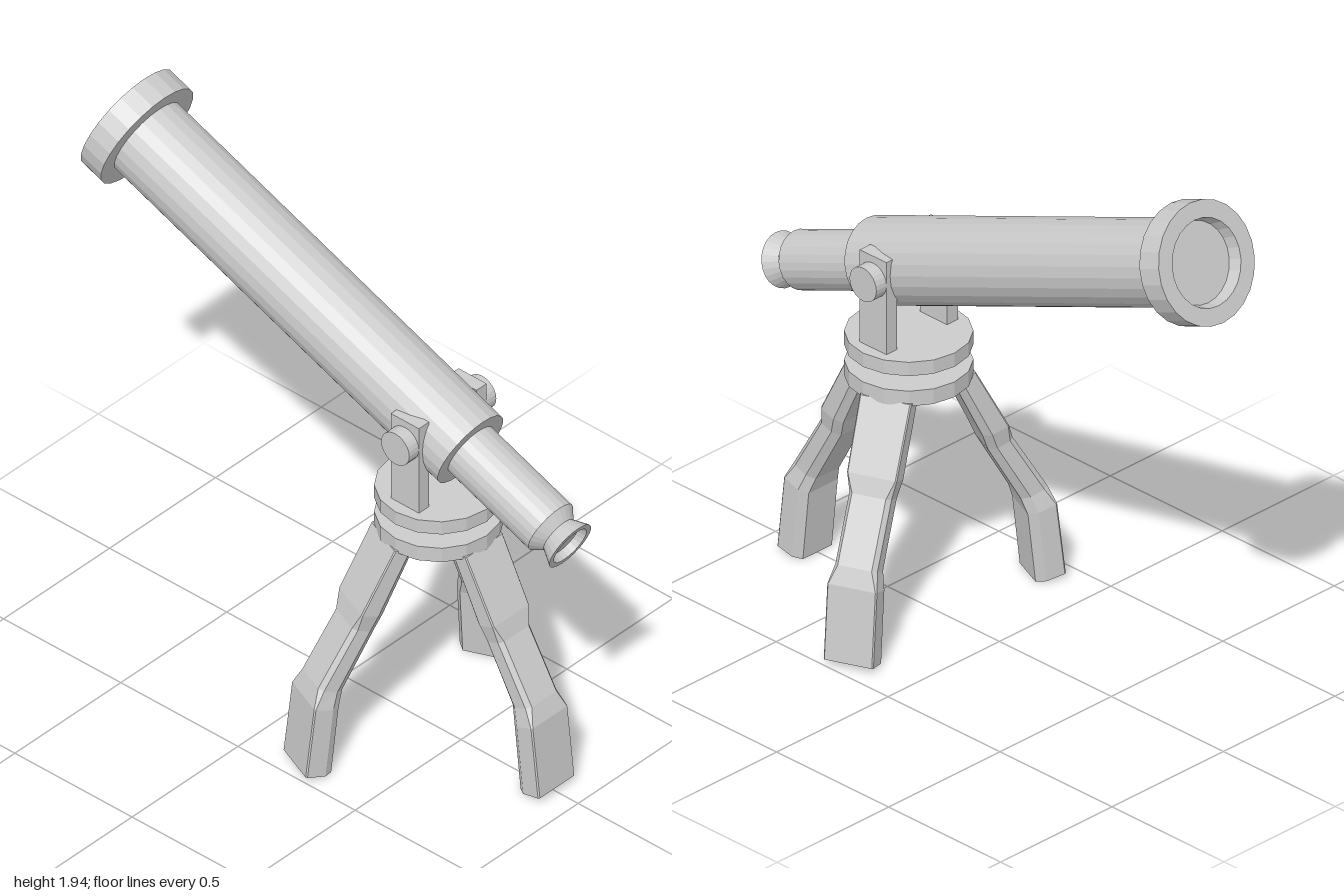
import * as THREE from 'three';

const material = new THREE.MeshStandardMaterial({ color: 0xcccccc, flatShading: true });
const PIVOT = new THREE.Vector3(0.405, 1.225, 0);
const TILT = THREE.MathUtils.degToRad(111.5);

function add(parent, name, geometry, x = 0, y = 0, z = 0) {
  const mesh = new THREE.Mesh(geometry, material);
  mesh.name = name;
  mesh.position.set(x, y, z);
  parent.add(mesh);
  return mesh;
}

// Turned part: [radius, distance along the axis] pairs
function turned(profile) {
  return new THREE.LatheGeometry(profile.map(([r, t]) => new THREE.Vector2(r, t)), 24);
}

// Leg lofted through stations: outer edge, inner edge, half width, outer corner chamfer
function legGeometry() {
  const stations = [
    { o: [0.195, 0.82], i: [0.11, 0.82], w: 0.088, c: 0.004 },
    { o: [0.31, 0.6], i: [0.227, 0.57], w: 0.085, c: 0.004 },
    { o: [0.332, 0.54], i: [0.25, 0.51], w: 0.072, c: 0.014 },
    { o: [0.45, 0.34], i: [0.363, 0.305], w: 0.072, c: 0.014 },
    { o: [0.475, 0.28], i: [0.382, 0.25], w: 0.085, c: 0.004 },
    { o: [0.505, 0.02], i: [0.408, 0], w: 0.085, c: 0.004 },
  ];
  const positions = [], index = [], n = 8;
  for (const { o, i, w, c } of stations) {
    const half = [[0, w - 0.02], [0.3, w], [1 - c * 12, w], [1, w - c]];
    const ring = [...half, ...half.map(([f, s]) => [f, -s]).reverse()];
    for (const [f, s] of ring) {
      positions.push(i[0] + (o[0] - i[0]) * f, i[1] + (o[1] - i[1]) * f, s);
    }
  }
  for (let k = 0; k < stations.length - 1; k++) {
    for (let j = 0; j < n; j++) {
      const a = k * n + j, b = k * n + (j + 1) % n;
      index.push(a, a + n, b, b, a + n, b + n);
    }
  }
  // End caps
  const last = (stations.length - 1) * n;
  for (let j = 1; j < n - 1; j++) {
    index.push(0, j, j + 1, last, last + j + 1, last + j);
  }
  const geometry = new THREE.BufferGeometry();
  geometry.setAttribute('position', new THREE.Float32BufferAttribute(positions, 3));
  geometry.setIndex(index);
  geometry.computeVertexNormals();
  return geometry;
}

export function createModel() {
  const model = new THREE.Group();
  model.name = 'telescope';

  // Tilted optical tube, measured along its axis from the pivot
  const tube = new THREE.Group();
  tube.name = 'opticalTube';
  tube.position.copy(PIVOT);
  tube.rotation.z = -TILT;
  model.add(tube);
  add(tube, 'objectiveHood', turned([
    [0, -1.385], [0.135, -1.385], [0.145, -1.43], [0.203, -1.43], [0.203, -1.338], [0.14, -1.338],
  ]));
  add(tube, 'mainTube', turned([[0.144, -1.345], [0.144, 0.145], [0.09, 0.145]]));
  add(tube, 'focusTube', turned([[0.098, 0.14], [0.098, 0.513], [0.066, 0.55]]));
  add(tube, 'eyepiece', turned([
    [0.064, 0.545], [0.092, 0.603], [0.072, 0.603], [0.062, 0.575], [0, 0.575],
  ]));

  // Yoke uprights and pivot pins on both sides
  for (const side of [1, -1]) {
    add(model, 'yokeUpright', new THREE.BoxGeometry(0.12, 0.345, 0.048), PIVOT.x, 1.1325, side * 0.136);
    const pin = add(model, 'pivotPin', new THREE.CylinderGeometry(0.06, 0.06, 0.065, 24),
      PIVOT.x, 1.22, side * 0.173);
    pin.rotation.x = Math.PI / 2;
  }

  // Turntable: two plates and a hub
  add(model, 'upperPlate', new THREE.CylinderGeometry(0.205, 0.205, 0.05, 16), PIVOT.x, 0.945, 0);
  add(model, 'hub', new THREE.CylinderGeometry(0.1, 0.1, 0.07, 16), PIVOT.x, 0.8925, 0);
  add(model, 'lowerPlate', new THREE.CylinderGeometry(0.205, 0.205, 0.055, 16), PIVOT.x, 0.8375, 0);

  // Tripod legs
  const leg = legGeometry();
  for (const angle of [0, 112.5, -112.5]) {
    add(model, 'tripodLeg', leg, PIVOT.x, 0, 0).rotation.y = THREE.MathUtils.degToRad(angle);
  }
  return model;
}
